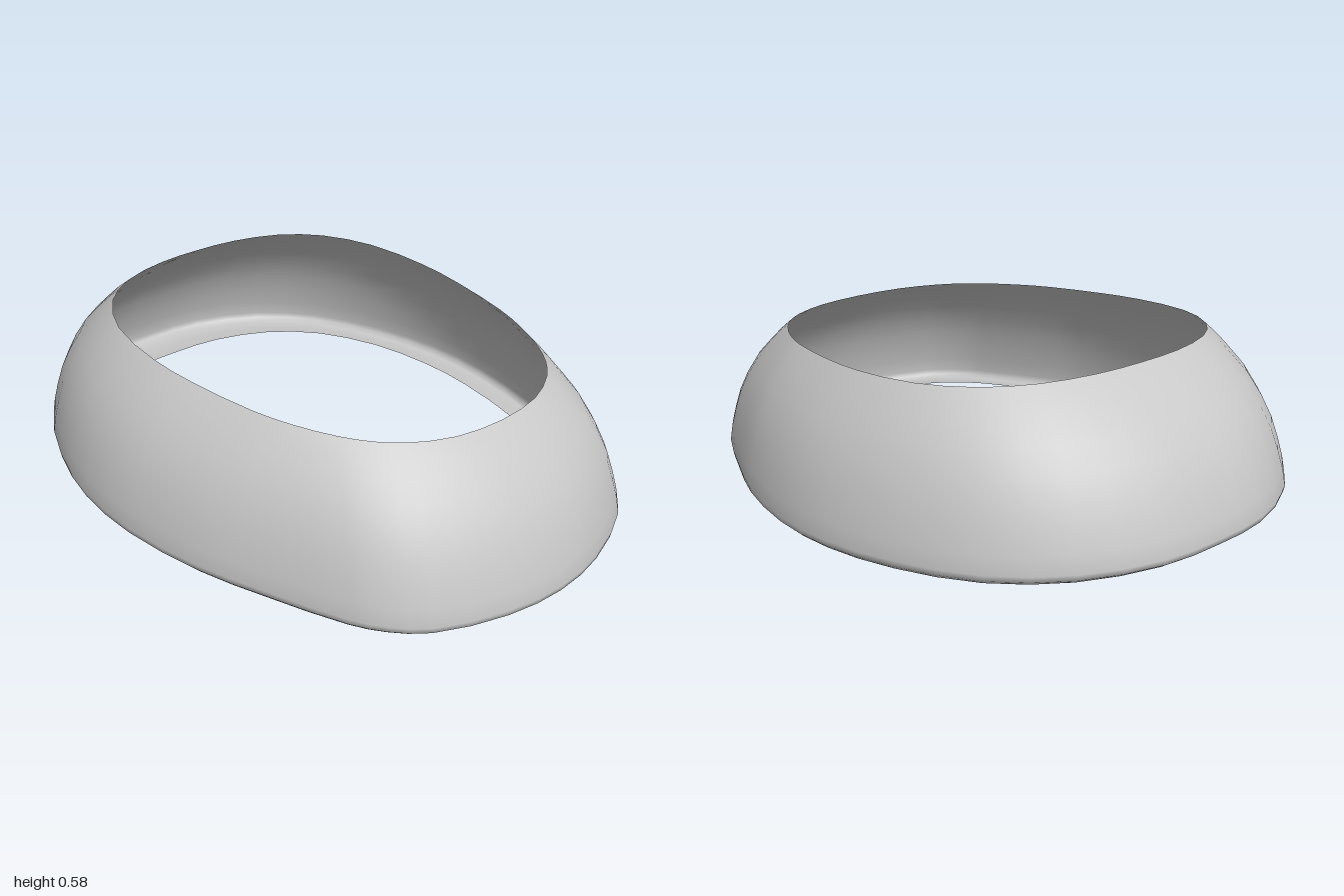
import * as THREE from 'three';

// Half outlines (x, z) from back to front, matched point for point
const TOP = [[0, -0.68], [0.16, -0.67], [0.33, -0.62], [0.46, -0.52], [0.55, -0.35], [0.58, -0.12], [0.57, 0.05],
  [0.53, 0.28], [0.49, 0.4], [0.43, 0.52], [0.37, 0.6], [0.3, 0.66], [0.17, 0.72], [0, 0.74]];
const OUTER = [[0, -1], [0.2, -0.985], [0.43, -0.89], [0.61, -0.72], [0.73, -0.48], [0.79, -0.24], [0.795, 0],
  [0.745, 0.27], [0.67, 0.48], [0.57, 0.72], [0.51, 0.81], [0.42, 0.89], [0.2, 0.975], [0, 1]];

// Mirror a half outline and smooth it into a closed loop
function loop(half) {
  const mirrored = half.slice(1, -1).reverse().map(([x, z]) => [-x, z]);
  const pts = [...half, ...mirrored].map(([x, z]) => new THREE.Vector3(x, 0, z));
  const n = pts.length * 2;
  const curve = new THREE.CatmullRomCurve3(pts, true, 'centripetal');
  return Array.from({ length: n }, (_, i) => curve.getPoint(i / n));
}

// Tilted height planes
const topY = z => 0.522 - 0.081 * z;
const beltY = z => 0.09 - 0.06 * z;
const rimY = z => 0.06 - 0.06 * z;

// Rings from the top opening to the inner lip: spread between outlines, height
const between = (a, b, f) => (zTop, z, zo) => THREE.MathUtils.lerp(a(zTop, zo), b(zTop, zo), f);
const top = zt => topY(zt);
const belt = (zt, zo) => beltY(zo);
const wall = f => between(top, belt, f);
const RINGS = [
  [0, wall(0)], [0.16, wall(0.08)], [0.31, wall(0.17)], [0.5, wall(0.29)], [0.67, wall(0.44)],
  [0.8, wall(0.59)], [0.89, wall(0.74)], [0.96, wall(0.88)], [1, wall(1)],
  [0.985, (zt, z) => rimY(z) + 0.012], [0.93, (zt, z) => rimY(z)],
  [0.72, (zt, z) => rimY(z) + 0.002], [0.5, (zt, z) => rimY(z) + 0.012],
];

function shellGeometry() {
  const a = loop(TOP), b = loop(OUTER), n = a.length;
  const pos = [], index = [];
  for (const [t, height] of RINGS) {
    for (let i = 0; i < n; i++) {
      const p = a[i].clone().lerp(b[i], t);
      pos.push(p.x, height(a[i].z, p.z, b[i].z), p.z);
    }
  }
  for (let r = 0; r < RINGS.length - 1; r++) {
    for (let i = 0; i < n; i++) {
      const j = (i + 1) % n;
      const p = r * n + i, q = r * n + j, s = p + n, u = q + n;
      index.push(p, q, s, q, u, s);
    }
  }
  const g = new THREE.BufferGeometry();
  g.setAttribute('position', new THREE.Float32BufferAttribute(pos, 3));
  g.setIndex(index);
  g.computeVertexNormals();
  return g;
}

export function createModel() {
  const group = new THREE.Group();
  group.name = 'collar';
  const grey = new THREE.MeshStandardMaterial({ color: 0xc8c8c8, side: THREE.DoubleSide });
  grey.name = 'light grey';
  // Open shell with a rim rolled inward at the bottom
  const shell = new THREE.Mesh(shellGeometry(), grey);
  shell.name = 'collarShell';
  group.add(shell);
  return group;
}
